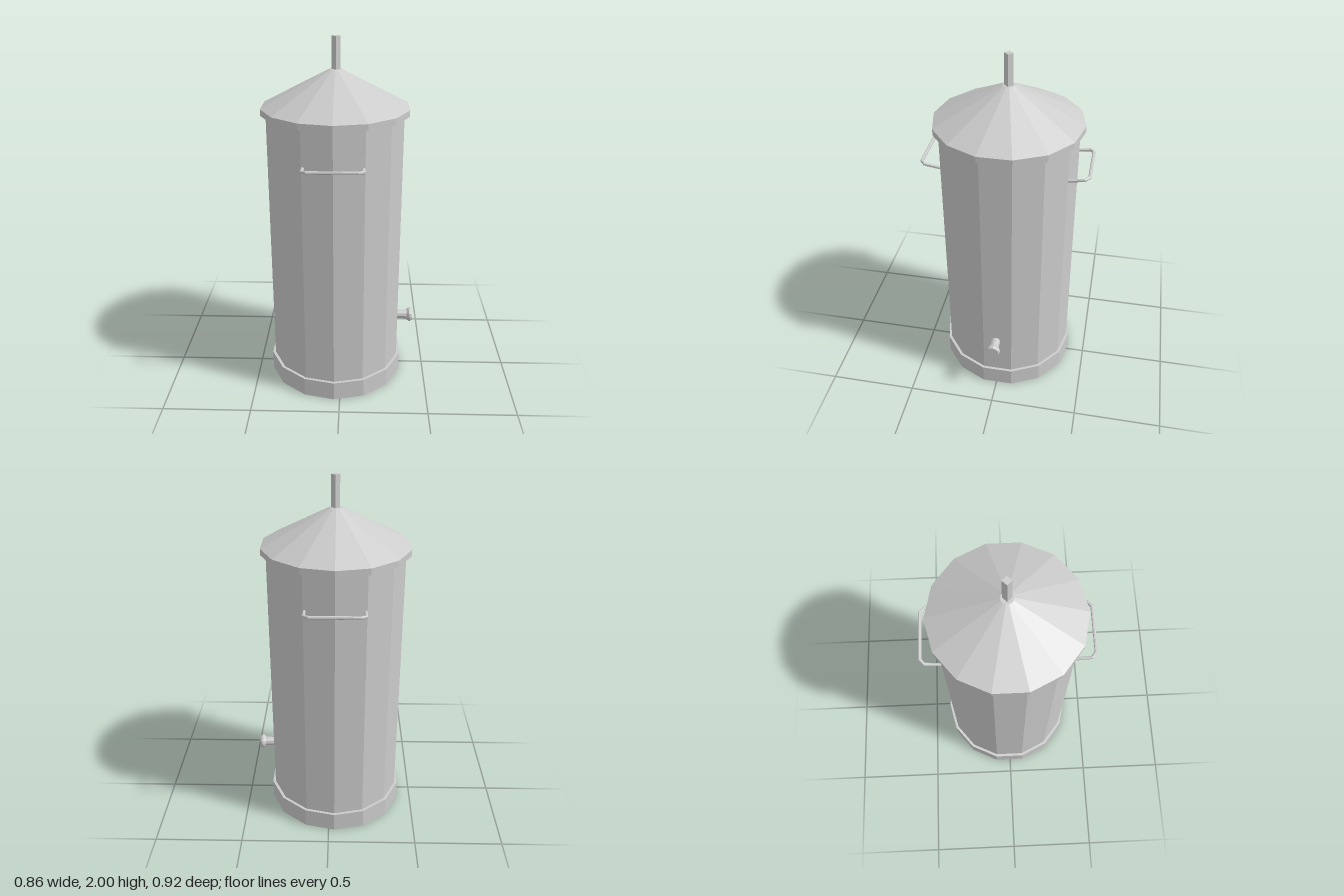
import * as THREE from 'three';

const material = new THREE.MeshStandardMaterial({ color: 0xcccccc, flatShading: true, side: THREE.DoubleSide });
const SIDES = 14;

function addPart(parent, name, geometry, x = 0, y = 0, z = 0) {
  const mesh = new THREE.Mesh(geometry, material);
  mesh.name = name;
  mesh.position.set(x, y, z);
  parent.add(mesh);
  return mesh;
}

// Faceted solid of revolution from [radius, height] pairs
function turned(points, sides) {
  return new THREE.LatheGeometry(points.map(([r, y]) => new THREE.Vector2(r, y)), sides);
}

// Flat bar bent into a bracket with chamfered corners, reaching along +z
function handleGeometry() {
  const outer = [[-0.163, 0], [-0.163, 0.095], [-0.132, 0.122]];
  const inner = [[-0.148, 0], [-0.148, 0.089], [-0.126, 0.106]];
  const mirror = (pts) => pts.map(([x, y]) => [-x, y]).reverse();
  const outline = [...outer, ...mirror(outer), ...inner.map(([x, y]) => [-x, y]), ...[...inner].reverse()];
  const shape = new THREE.Shape(outline.map(([x, y]) => new THREE.Vector2(x, y)));
  const geometry = new THREE.ExtrudeGeometry(shape, {
    depth: 0.008, bevelEnabled: true, bevelSegments: 1,
    bevelSize: 0.004, bevelThickness: 0.004, bevelOffset: -0.004,
  });
  geometry.translate(0, 0, -0.004);
  geometry.rotateX(Math.PI / 2);
  geometry.rotateX(-0.15);
  return geometry;
}

export function createModel() {
  const model = new THREE.Group();
  model.name = 'lidded boiler';

  // Everything turns around the drum axis, slightly off centre because of the tap
  const drum = new THREE.Group();
  drum.name = 'drum';
  drum.position.set(-0.033, 0, -0.005);
  model.add(drum);

  addPart(drum, 'base', new THREE.CylinderGeometry(0.394, 0.394, 0.11, SIDES), 0, 0.055, 0);
  addPart(drum, 'body', new THREE.CylinderGeometry(0.378, 0.378, 1.52, SIDES), 0, 0.85, 0);

  // Lid: short rim and cone with a small flat top
  addPart(drum, 'lid', turned([[0, 1.595], [0.406, 1.595], [0.406, 1.63], [0.033, 1.828], [0, 1.828]], SIDES));

  // Square rod standing on the lid
  addPart(drum, 'lidRod', new THREE.CylinderGeometry(0.024, 0.024, 0.19, 4), 0.004, 1.905, 0);

  // Carrying handles, front and back
  for (const [name, angle] of [['frontHandle', 0], ['backHandle', Math.PI]]) {
    const side = new THREE.Group();
    side.name = name;
    side.rotation.y = angle;
    addPart(side, name + 'Bar', handleGeometry(), 0, 1.388, 0.338);
    drum.add(side);
  }

  // Outlet tap on the left side: pipe and bevelled cap
  const tap = new THREE.Group();
  tap.name = 'tap';
  tap.position.set(0.31, 0.345, 0.004);
  tap.rotation.z = -Math.PI / 2;
  model.add(tap);
  addPart(tap, 'tapPipe', new THREE.CylinderGeometry(0.027, 0.027, 0.09, 10), 0, 0.045, 0);
  addPart(tap, 'tapCap', turned([[0, 0.084], [0.03, 0.084], [0.041, 0.098], [0.041, 0.106], [0.033, 0.118], [0, 0.118]], 12));

  return model;
}
